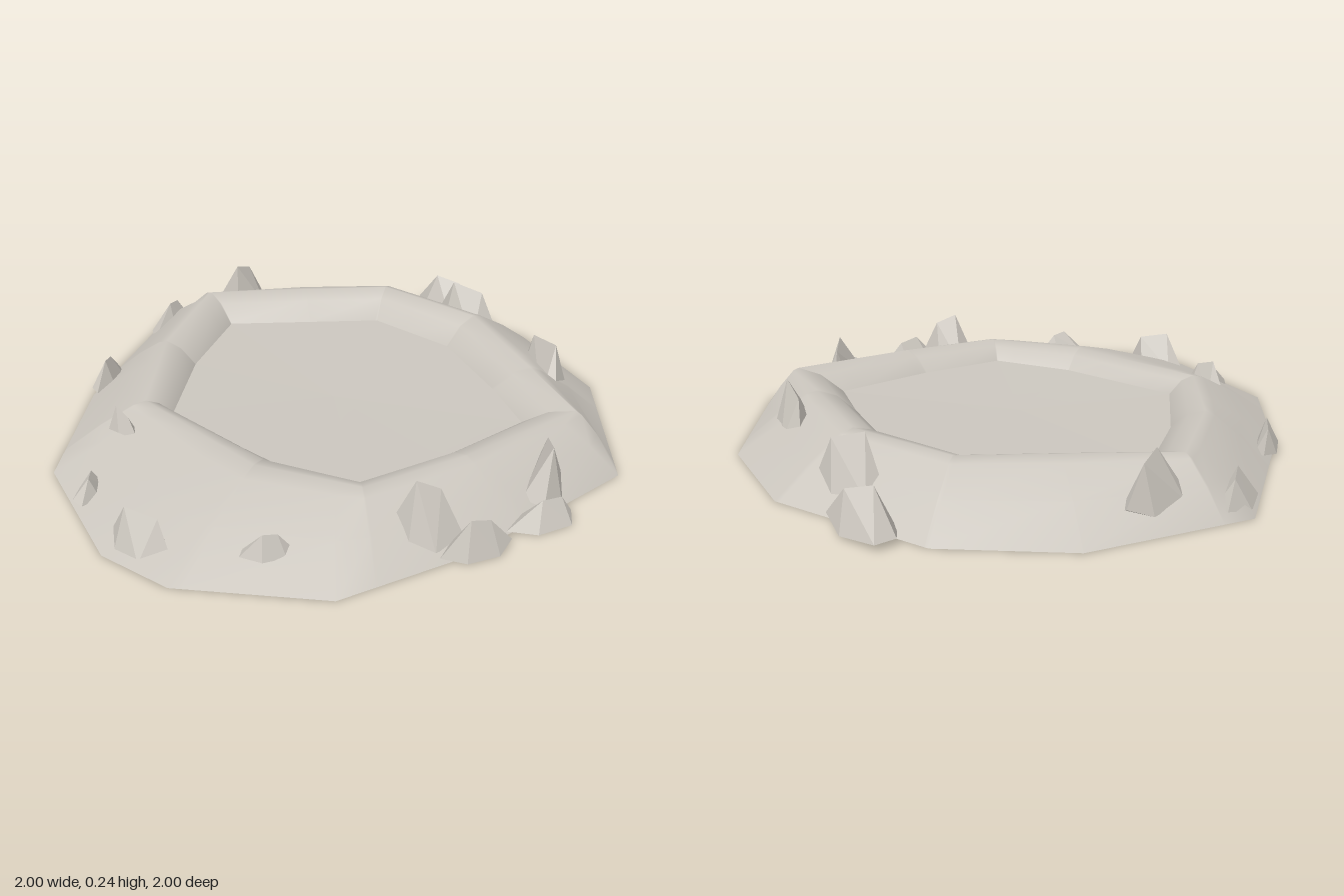
import * as THREE from 'three';
import { ConvexGeometry } from 'three/addons/geometries/ConvexGeometry.js';

const V2 = (x, z) => new THREE.Vector2(x, z);

// Outlines as (x, z) corners
const FOOT = [V2(0.02, -1), V2(0.45, -0.88), V2(0.63, -0.7), V2(0.88, -0.45), V2(1, -0.02), V2(0.88, 0.55),
  V2(0.5, 0.75), V2(0.2, 0.89), V2(-0.18, 1), V2(-0.66, 0.85), V2(-0.85, 0.66), V2(-1, 0.18),
  V2(-0.86, -0.31), V2(-0.55, -0.88)];
const CREST = [V2(-0.37, -0.74), V2(0.34, -0.64), V2(0.62, -0.33), V2(0.71, 0.08), V2(0.77, 0.39),
  V2(0.33, 0.57), V2(-0.03, 0.67), V2(-0.35, 0.48), V2(-0.67, 0.03), V2(-0.57, -0.37)];
const FLOOR = [V2(-0.3, -0.61), V2(0.28, -0.53), V2(0.5, -0.27), V2(0.58, 0.08), V2(0.61, 0.31),
  V2(0.28, 0.47), V2(-0.03, 0.57), V2(-0.28, 0.39), V2(-0.58, 0.03), V2(-0.47, -0.31)];
const FLOOR_Y = 0.095;

// Distance from the centre to an outline in direction a
function radiusAt(outline, a) {
  const d = V2(Math.cos(a), Math.sin(a));
  let best = 0;
  outline.forEach((p, i) => {
    const e = outline[(i + 1) % outline.length].clone().sub(p);
    const den = d.cross(e);
    if (Math.abs(den) < 1e-9) return;
    const t = p.cross(e) / den, u = p.cross(d) / den;
    if (t > 0 && u > -1e-6 && u < 1 + 1e-6) best = Math.max(best, t);
  });
  return best;
}

// Every outline corner gets its own spoke
const ANGLES = [...FOOT, ...CREST, ...FLOOR].map((p) => Math.atan2(p.y, p.x)).sort((a, b) => a - b)
  .filter((a, i, all) => i === 0 || a - all[i - 1] > 1e-3);

// Skin closed loops, each a function of angle giving [radius, y], from outside in
function skinLoops(loops) {
  const n = ANGLES.length, pos = [], index = [];
  for (const loop of loops) {
    for (const a of ANGLES) {
      const [r, y] = loop(a);
      pos.push(r * Math.cos(a), y, r * Math.sin(a));
    }
  }
  for (let k = 0; k < loops.length - 1; k++) {
    for (let j = 0; j < n; j++) {
      const a = k * n + j, b = k * n + (j + 1) % n;
      index.push(a, a + n, b, b, a + n, b + n);
    }
  }
  const g = new THREE.BufferGeometry();
  g.setAttribute('position', new THREE.Float32BufferAttribute(pos, 3));
  g.setIndex(index);
  g.computeVertexNormals();
  return g;
}

export function createModel() {
  const model = new THREE.Group();
  model.name = 'crater';
  const stone = new THREE.MeshStandardMaterial({ color: 0xcbc6be, side: THREE.DoubleSide });
  stone.name = 'pale stone';

  const add = (name, geometry) => {
    const mesh = new THREE.Mesh(geometry, stone);
    mesh.name = name;
    model.add(mesh);
    return mesh;
  };

  // Rim: outer slope, crest and inner wall; the crest dips at the front
  const crestY = (a) => 0.17 - 0.016 * Math.cos(a - 2.16);
  const slope = (t, h) => (a) => [
    THREE.MathUtils.lerp(radiusAt(FOOT, a), radiusAt(CREST, a), t), crestY(a) * h];
  const wall = (t, y) => (a) => [
    THREE.MathUtils.lerp(radiusAt(CREST, a), radiusAt(FLOOR, a), t),
    THREE.MathUtils.lerp(crestY(a), FLOOR_Y, y)];
  add('rim', skinLoops([slope(0, 0), slope(0.45, 0.54), slope(0.85, 0.93), slope(1, 1),
    wall(0.5, 0.25), wall(1, 1), wall(1.03, 1.35)]));

  // Crater floor, tucked into the wall
  add('floor', skinLoops([(a) => [radiusAt(FLOOR, a) * 1.03, FLOOR_Y],
    (a) => [radiusAt(FLOOR, a) * 0.5, FLOOR_Y - 0.006], () => [0, FLOOR_Y - 0.01]]));

  // Flat sliver under the back left
  const sliver = new THREE.BufferGeometry().setFromPoints([new THREE.Vector3(),
    new THREE.Vector3(-0.86, 0, -0.31), new THREE.Vector3(-0.55, 0, -0.88)]);
  sliver.computeVertexNormals();
  add('baseSliver', sliver);

  // Seeded jitter for the rocks
  let seed = 7;
  const jitter = () => {
    seed = (seed * 16807) % 2147483647;
    return (seed / 2147483647 - 0.5) * 0.14;
  };

  // Faceted rock: centre x, z, bottom and top y, length, width, turn
  let count = 0;
  function rock(x, z, y0, y1, length, width, turn) {
    const points = [[-0.5, 0.1, 0.05], [-0.15, 0, 0.5], [0.3, 0, 0.42], [0.5, 0.15, -0.1], [0.1, 0, -0.5],
      [-0.33, 0.1, -0.4], [-0.1, 1, 0.1], [0.24, 0.85, -0.08]].map(([px, py, pz]) => new THREE.Vector3(
      (px + jitter()) * length, py * (y1 - y0), (pz + jitter()) * width));
    const mesh = add('rock' + (++count), new ConvexGeometry(points));
    mesh.position.set(x, y0, z);
    mesh.rotation.y = turn;
  }

  // Back rocks
  rock(-0.53, -0.78, 0.01, 0.13, 0.25, 0.12, 0.9);
  rock(-0.24, -0.85, 0.05, 0.24, 0.27, 0.1, 0.4);
  rock(0.62, -0.75, 0.01, 0.16, 0.28, 0.16, -0.9);
  rock(0.63, -0.51, 0.03, 0.24, 0.29, 0.16, -0.8);
  // Left and right flank rocks
  rock(-0.8, -0.37, 0.01, 0.12, 0.21, 0.08, 1.05);
  rock(-0.75, 0.11, 0.04, 0.19, 0.23, 0.11, -1.2);
  rock(-0.88, 0.34, 0.01, 0.08, 0.18, 0.08, 1.15);
  rock(0.79, 0, 0.05, 0.24, 0.36, 0.15, 1.57);
  // Front rocks
  rock(-0.73, 0.64, 0, 0.15, 0.23, 0.14, -0.85);
  rock(-0.36, 0.81, 0.05, 0.13, 0.18, 0.07, 0);
  rock(0.13, 0.78, 0.02, 0.24, 0.23, 0.18, -0.4);
  rock(0.28, 0.86, 0, 0.13, 0.25, 0.1, 0.1);
  rock(0.54, 0.75, 0, 0.09, 0.25, 0.12, 0.2);
  rock(0.6, 0.6, 0.02, 0.21, 0.29, 0.14, 1.1);

  return model;
}
